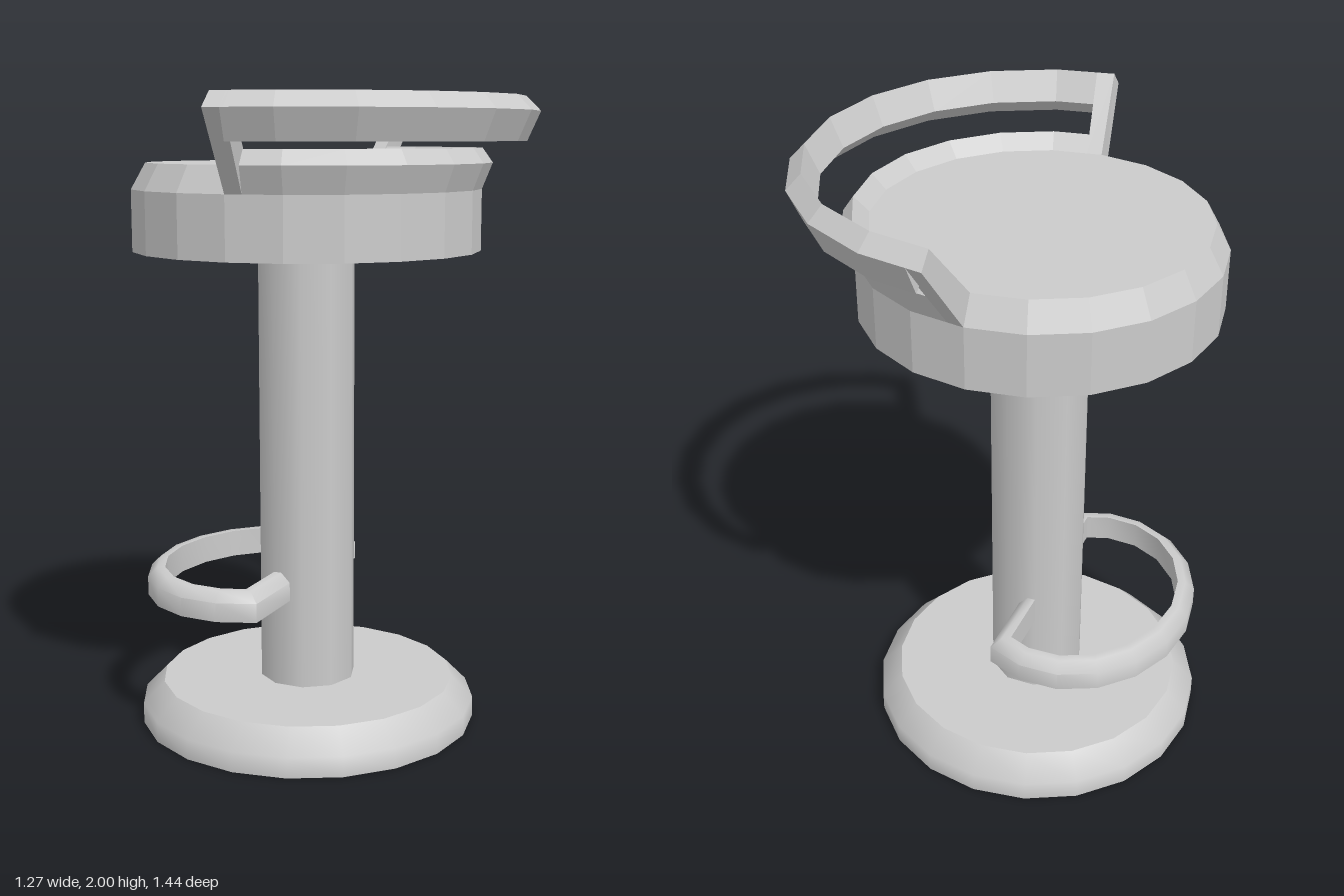
import * as THREE from 'three';
import { toCreasedNormals } from 'three/addons/utils/BufferGeometryUtils.js';

const V = (x, y, z) => new THREE.Vector3(x, y, z);

// Capped solid through a list of cross-sections (arrays of Vector3)
function loft(sections) {
  const tris = [];
  const n = sections[0].length;
  for (let s = 0; s < sections.length - 1; s++) {
    const a = sections[s], b = sections[s + 1];
    for (let i = 0; i < n; i++) {
      const j = (i + 1) % n;
      tris.push([a[i], a[j], b[j]], [a[i], b[j], b[i]]);
    }
  }
  const first = sections[0], last = sections[sections.length - 1];
  for (let i = 1; i < n - 1; i++) {
    tris.push([first[0], first[i + 1], first[i]], [last[0], last[i], last[i + 1]]);
  }
  // Turn the faces outward if the enclosed volume is negative
  const volume = tris.reduce((v, [a, b, c]) => v + a.dot(b.clone().cross(c)), 0);
  if (volume < 0) tris.forEach((t) => t.reverse());
  const geometry = new THREE.BufferGeometry().setFromPoints(tris.flat());
  geometry.computeVertexNormals();
  return geometry;
}

export function createModel() {
  const model = new THREE.Group();
  model.name = 'barStool';
  const stool = new THREE.Group();
  stool.position.x = -0.09; // the column axis sits off centre, the back overhangs
  model.add(stool);

  const smooth = new THREE.MeshStandardMaterial({ color: 0xcccccc });
  const flat = new THREE.MeshStandardMaterial({ color: 0xcccccc, flatShading: true });
  const add = (name, geometry, material, parent = stool) => {
    const mesh = new THREE.Mesh(geometry, material);
    mesh.name = name;
    parent.add(mesh);
    return mesh;
  };
  const lathe = (points) =>
    new THREE.LatheGeometry(points.map(([r, y]) => new THREE.Vector2(r, y)), 20);

  // Round base: softly shaded rim, flat top and underside
  const base = new THREE.Group();
  base.name = 'base';
  stool.add(base);
  add('baseRim', lathe([[0.545, 0], [0.545, 0.065], [0.476, 0.135]]), smooth, base);
  add('baseTop', new THREE.CircleGeometry(0.476, 20).rotateX(-Math.PI / 2), smooth, base).position.y = 0.135;
  add('baseUnderside', new THREE.CircleGeometry(0.545, 20).rotateX(Math.PI / 2), smooth, base);

  // Column
  const column = new THREE.CylinderGeometry(0.155, 0.155, 1.42, 10, 1, false, Math.PI / 2);
  add('column', column, smooth).position.y = 0.83;

  // Faceted seat with a bevelled upper edge
  add('seat', lathe([[0, 1.53], [0.545, 1.53], [0.545, 1.72], [0.5, 1.8], [0, 1.8]]), flat);

  // Back: a point is [seat radius, outward flare, height]; t runs 0..10 around the +x half
  const backCorner = (t, [r, flare, y]) => {
    const at = (i) => {
      // the ends flare square to the end facet instead of radially
      if (i === 0 || i === 10) return V(flare * 0.16, y, (i ? -1 : 1) * (r + flare));
      const a = (i * Math.PI) / 10;
      return V((r + flare) * Math.sin(a), y, (r + flare) * Math.cos(a));
    };
    return at(Math.floor(t)).lerp(at(Math.ceil(t)), t % 1);
  };
  const sweepBack = (steps, profile) =>
    loft(steps.map((t) => profile.map((p) => backCorner(t, p))));

  const railSteps = [0.25, 1, 2, 3, 4, 5, 6, 7, 8, 9, 9.75];
  const lowerRail = [[0.545, 0, 1.72], [0.545, 0.032, 1.8], [0.5, 0.045, 1.845], [0.5, 0, 1.8]];
  const upperRail = [[0.545, 0.135, 1.865], [0.545, 0.175, 1.955], [0.5, 0.175, 2], [0.5, 0.135, 1.91]];
  const post = [[0.545, 0, 1.72], [0.545, 0.175, 1.955], [0.5, 0.175, 2], [0.5, 0, 1.8]];

  const back = new THREE.Group();
  back.name = 'back';
  stool.add(back);
  add('lowerRail', sweepBack(railSteps, lowerRail), flat, back);
  add('upperRail', sweepBack(railSteps, upperRail), flat, back);
  add('leftPost', sweepBack([0, 0.3], post), flat, back);
  add('rightPost', sweepBack([9.7, 10], post), flat, back);

  // Footrest: arm out of the column, oval arc around the -x side, arm back in
  const path = [new THREE.Vector2(0.005, 0.1)];
  const end = 1.1;
  for (let i = 0; i <= 12; i++) {
    const a = end + (i / 12) * 2 * (Math.PI - end);
    path.push(new THREE.Vector2(-0.16 + 0.365 * Math.cos(a), 0.43 * Math.sin(a)));
  }
  path.push(new THREE.Vector2(0.005, -0.1));

  const footSection = [[0, 0.42], [0, 0.48], [0.03, 0.51], [0.055, 0.51], [0.055, 0.42]];
  const outward = (p, q) => {
    const d = q.clone().sub(p).normalize();
    return new THREE.Vector2(d.y, -d.x);
  };
  const footRings = path.map((p, i) => {
    const before = outward(path[Math.max(i - 1, 0)], path[Math.max(i, 1)]);
    const k = Math.min(i, path.length - 2);
    const after = outward(path[k], path[k + 1]);
    const mitre = before.clone().add(after).normalize();
    mitre.divideScalar(mitre.dot(after));
    return footSection.map(([inset, y]) => V(p.x - mitre.x * inset, y, p.y - mitre.y * inset));
  });
  add('footrest', toCreasedNormals(loft(footRings), 0.85), smooth);

  return model;
}
